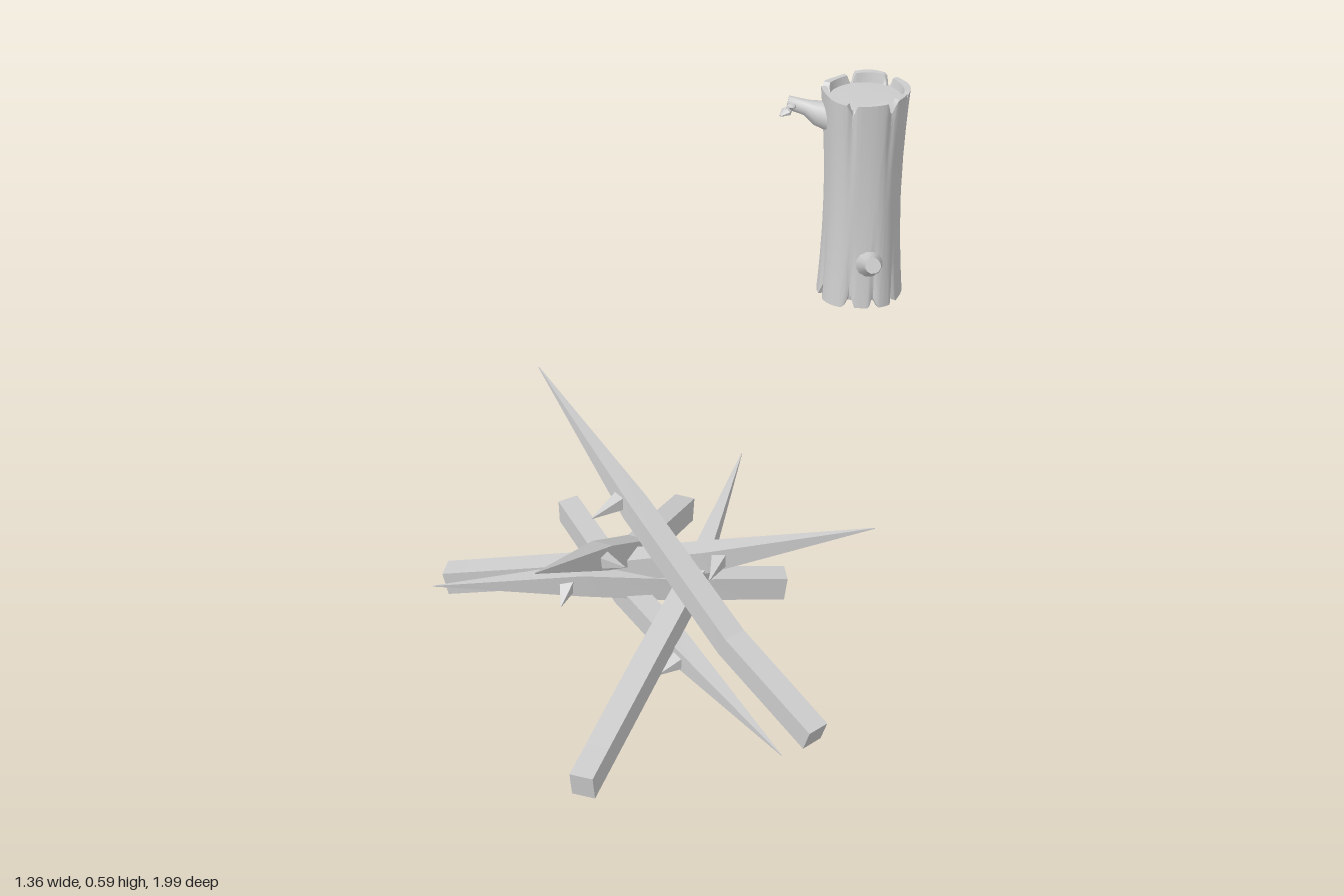
import * as THREE from 'three';
import { toCreasedNormals } from 'three/addons/utils/BufferGeometryUtils.js';

const V = (p) => new THREE.Vector3(...p);
const rad = THREE.MathUtils.degToRad;
const material = new THREE.MeshStandardMaterial({ color: 0xcccccc, side: THREE.DoubleSide });

// Skin a series of closed rings (each an array of points) into a mesh
function loft(name, rows, crease) {
  const n = rows[0].length, pos = [];
  const tri = (a, b, c) => {
    const area = b.clone().sub(a).cross(c.clone().sub(a)).length();
    if (area > 1e-9) pos.push(...a.toArray(), ...b.toArray(), ...c.toArray());
  };
  for (let j = 0; j < rows.length - 1; j++) for (let i = 0; i < n; i++) {
    const k = (i + 1) % n, p = rows[j], q = rows[j + 1];
    tri(p[i], p[k], q[k]);
    tri(p[i], q[k], q[i]);
  }
  const g = new THREE.BufferGeometry();
  g.setAttribute('position', new THREE.Float32BufferAttribute(pos, 3));
  const mesh = new THREE.Mesh(toCreasedNormals(g, crease), material);
  mesh.name = name;
  return mesh;
}

// Tapered limb through points, with a given half width, half height and side count
function limb(name, points, sizes, sides, crease, aspect = 1) {
  const pts = points.map(V), last = pts.length - 1, rows = [];
  const axis = pts[last].clone().sub(pts[0]).normalize();
  const side = new THREE.Vector3(0, 1, 0).cross(axis).normalize();
  pts.forEach((p, j) => {
    const dir = pts[Math.min(j + 1, last)].clone().sub(pts[Math.max(j - 1, 0)]).normalize();
    const up = dir.clone().cross(side).normalize();
    const ring = [];
    for (let i = 0; i < sides; i++) {
      const a = (i + 0.5) / sides * Math.PI * 2;
      ring.push(p.clone().addScaledVector(side, Math.cos(a) * sizes[j])
        .addScaledVector(up, Math.sin(a) * sizes[j] * aspect));
    }
    rows.push(ring);
  });
  rows.unshift(rows[0].map(() => pts[0].clone()));
  rows.push(rows[rows.length - 1].map(() => pts[last].clone()));
  return loft(name, rows, crease);
}

// Sharpened stick: blunt end, two bends, point; then a thorn to its own tip
function makeStick({ path, thorn }) {
  const g = new THREE.Group();
  g.name = 'stick';
  g.add(limb('shaft', path, [0.033, 0.034, 0.032, 0.001], 4, 0.1, 1.15));
  const base = V(path[2]).lerp(V(path[3]), 0.08).toArray();
  g.add(limb('thorn', [base, thorn], [0.026, 0.001], 4, 0.1));
  return g;
}

const sticks = [
  { path: [[0.665, 0.035, 0.55], [0.42, 0.125, 0.54], [0.12, 0.295, 0.52], [-0.21, 0.48, 0.49]], thorn: [0.08, 0.29, 0.605] },
  { path: [[-0.22, 0.065, 0.765], [0.03, 0.12, 0.575], [0.24, 0.185, 0.43], [0.51, 0.285, 0.215]], thorn: [0.305, 0.19, 0.487] },
  { path: [[0.47, 0.06, 0.98], [0.33, 0.095, 0.69], [0.23, 0.14, 0.46], [0.025, 0.195, 0.12]], thorn: [0.125, 0.14, 0.48] },
  { path: [[0.305, 0.065, 0.27], [0.17, 0.1, 0.47], [0.05, 0.125, 0.62], [-0.13, 0.145, 0.865]], thorn: [0.075, 0.11, 0.695] },
  { path: [[-0.045, 0.07, 0.235], [0.06, 0.13, 0.47], [0.12, 0.225, 0.62], [0.22, 0.365, 0.865]], thorn: [0.19, 0.23, 0.615] },
  { path: [[-0.235, 0.063, 0.415], [0.08, 0.065, 0.525], [0.3, 0.062, 0.575], [0.675, 0.06, 0.655]], thorn: [0.32, 0.045, 0.65] },
];

// Notches in the bark, as [angle, half width, depth] in degrees and units
const topNotches = [[25, 7, 0.035], [80, 8, 0.04], [122, 7, 0.035], [185, 8, 0.04], [245, 7, 0.03], [300, 8, 0.04]];
const bottomNotches = [[-28, 8, 0.04], [28, 8, 0.04], [62, 6, 0.03], [95, 7, 0.035], [150, 7, 0.04], [205, 7, 0.03], [265, 8, 0.04]];

// How deep and how strongly the bark is cut at an angle
function notchAt(deg, list) {
  let depth = 0, cut = 0;
  for (const [a, w, d] of list) {
    const off = Math.abs(((deg - a + 540) % 360) - 180);
    const t = Math.max(0, 1 - off / w);
    if (t > cut) { cut = t; depth = d * t; }
  }
  return { depth, cut };
}

// Hollow-rimmed log: lower disc, lower rim, bark, upper rim, upper disc
function makeLog() {
  const N = 120, yLow = 0.015, yHigh = 0.602;
  const ring = (fn) => Array.from({ length: N }, (_, i) => {
    const deg = i * 360 / N, a = rad(deg);
    const [r, y] = fn(deg, a);
    const t = y / 0.6;
    return new THREE.Vector3(-0.513 - 0.014 * t + Math.sin(a) * r, y, -0.857 - 0.022 * t + Math.cos(a) * r);
  });
  const topY = (d, a) => yHigh - 0.006 * (1 + Math.sin(3 * a)) / 2 - notchAt(d, topNotches).depth;
  const lowY = (d, a) => yLow + 0.006 * (1 + Math.sin(2 * a)) / 2 + notchAt(d, bottomNotches).depth;
  const bark = (t) => ring((d, a) => {
    const waist = 0.102 + 0.014 * Math.pow(Math.abs(2 * t - 1), 1.8);
    const groove = 0.012 * (notchAt(d, topNotches).cut * Math.max(0, 1 - (1 - t) * 2.5)
      + notchAt(d, bottomNotches).cut * Math.max(0, 1 - t * 3));
    const y = THREE.MathUtils.lerp(lowY(d, a), topY(d, a), t);
    return [waist + 0.003 * Math.sin(5 * a + 1) - groove, y];
  });
  const rows = [
    ring(() => [0, 0.035]), ring(() => [0.096, 0.035]),
    ring((d, a) => [0.1, lowY(d, a)]),
    ...[0, 0.08, 0.18, 0.32, 0.5, 0.68, 0.82, 0.92, 1].map(bark),
    ring((d, a) => [0.1, topY(d, a)]),
    ring(() => [0.096, 0.575]), ring(() => [0, 0.578]),
  ];
  const g = new THREE.Group();
  g.name = 'log';
  g.add(loft('bark', rows, rad(40)));

  // Broken branch stubs
  g.add(limb('upperBranch', [[-0.58, 0.52, -0.82], [-0.61, 0.533, -0.788], [-0.635, 0.547, -0.768], [-0.675, 0.558, -0.74]],
    [0.042, 0.034, 0.021, 0.018], 12, rad(40)));
  g.add(limb('lowerBranch', [[-0.46, 0.135, -0.83], [-0.43, 0.15, -0.803], [-0.407, 0.162, -0.785], [-0.378, 0.178, -0.76]],
    [0.044, 0.036, 0.024, 0.021], 12, rad(40)));

  // Small twig with two buds on the upper stub
  g.add(limb('twig', [[-0.66, 0.552, -0.75], [-0.65, 0.556, -0.725], [-0.642, 0.552, -0.705]], [0.009, 0.008, 0.007], 8, rad(40)));
  g.add(limb('bud', [[-0.655, 0.555, -0.728], [-0.642, 0.562, -0.72], [-0.626, 0.566, -0.712]], [0.006, 0.014, 0.003], 8, rad(40), 0.6));
  g.add(limb('bud', [[-0.648, 0.554, -0.722], [-0.648, 0.55, -0.708], [-0.652, 0.542, -0.69]], [0.008, 0.018, 0.004], 8, rad(40), 0.6));
  return g;
}

export function createModel() {
  const model = new THREE.Group();
  model.name = 'logAndSticks';
  const pile = new THREE.Group();
  pile.name = 'stickPile';
  sticks.forEach((s) => pile.add(makeStick(s)));
  model.add(pile, makeLog());
  return model;
}
